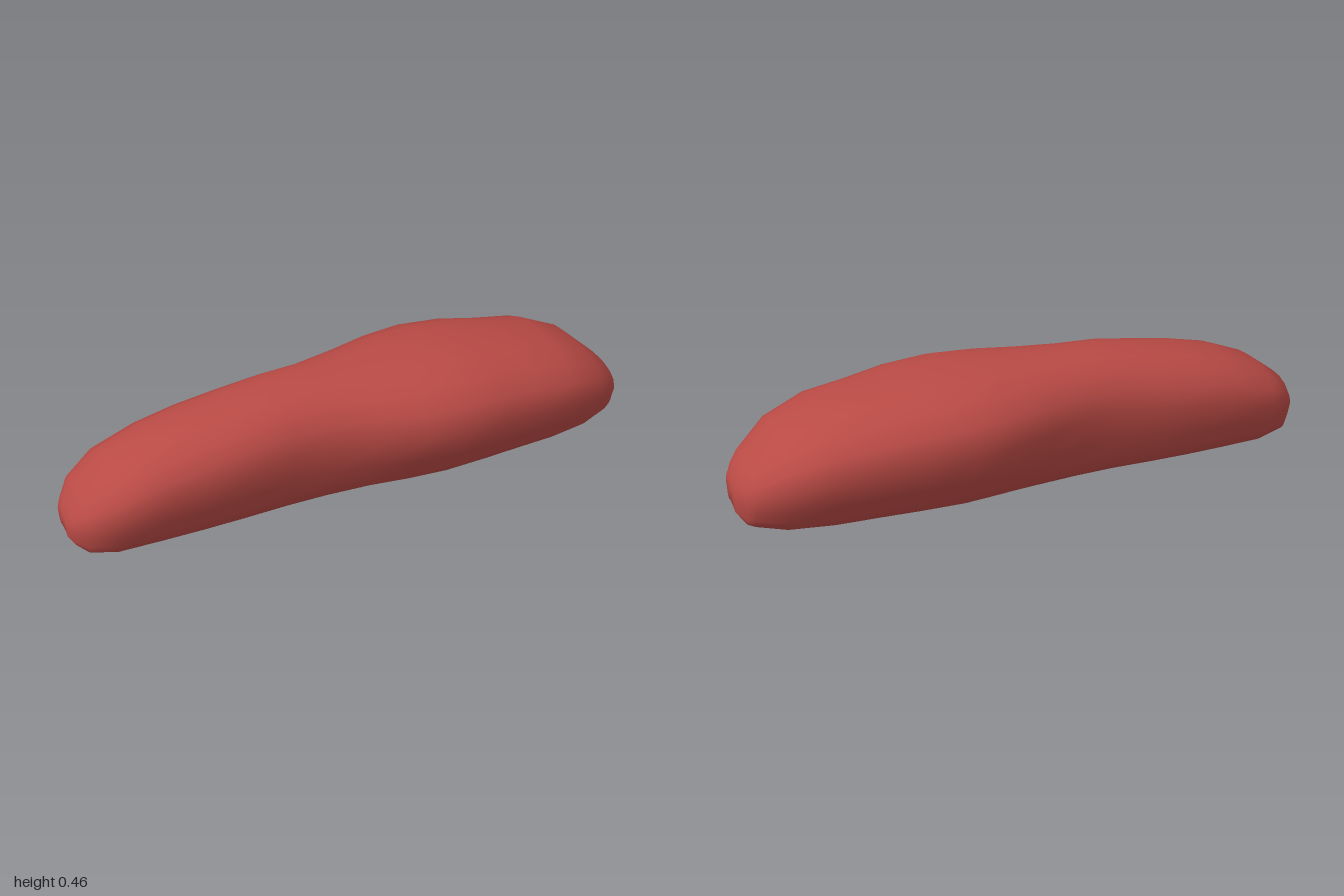
import * as THREE from 'three';
import { toCreasedNormals } from 'three/addons/utils/BufferGeometryUtils.js';

// Stations along the cushion: x, half width, top, bottom
const STATIONS = [
  [-1, 0.06, 0.16, 0.09], [-0.985, 0.09, 0.185, 0.072], [-0.95, 0.135, 0.24, 0.05],
  [-0.86, 0.18, 0.305, 0.022], [-0.71, 0.192, 0.363, 0.018], [-0.57, 0.201, 0.393, 0.016],
  [-0.43, 0.199, 0.416, 0.017], [-0.28, 0.193, 0.438, 0.02], [-0.14, 0.202, 0.442, 0.018],
  [0, 0.24, 0.447, 0.012], [0.14, 0.283, 0.455, 0.005], [0.28, 0.305, 0.458, 0],
  [0.43, 0.296, 0.447, 0.003], [0.57, 0.279, 0.421, 0.008], [0.71, 0.265, 0.4, 0.012],
  [0.85, 0.225, 0.342, 0.027], [0.95, 0.155, 0.255, 0.06], [0.975, 0.125, 0.226, 0.072],
  [1, 0.07, 0.19, 0.1],
];

// Upper outline: fraction of half width, fraction of height
const UPPER = [[0, 1], [0.22, 0.992], [0.44, 0.976], [0.72, 0.895], [0.91, 0.77], [1, 0.59]];
// Lower flank: fraction from lip to half width, fraction of height
const LOWER = [[0.69, 0.33], [0.52, 0.175], [0.3, 0.072]];

// Closed cross-section with a slot along the underside
function section([x, w, top, bottom]) {
  const h = top - bottom;
  const lip = Math.min(0.098, w * 0.75);
  const slot = Math.min(0.071, w * 0.55);
  const roof = Math.max(0.06, bottom + 0.006);
  const half = [
    ...UPPER.map(([k, t]) => [w * k, bottom + h * t]),
    ...LOWER.map(([k, t]) => [lip + (w - lip) * k, bottom + h * t]),
    [lip, bottom], [slot, bottom],
    [slot * 0.98, bottom + (roof - bottom) * 0.9], [slot * 0.7, roof], [0, roof],
  ];
  const mirrored = half.slice(1, -1).reverse().map(([z, y]) => [-z, y]);
  return [...half, ...mirrored].map(([z, y]) => [x, y, z]);
}

function loft(rings) {
  const n = rings[0].length;
  const positions = rings.flat(2);
  const index = [];
  for (let i = 0; i < rings.length - 1; i++) {
    for (let j = 0; j < n; j++) {
      const k = (j + 1) % n;
      const a = i * n + j, b = i * n + k, c = a + n, d = b + n;
      index.push(a, b, c, b, d, c);
    }
  }
  // End caps
  const last = rings.length - 1;
  for (const i of [0, last]) {
    const [x, , top, bottom] = STATIONS[i];
    const centre = positions.length / 3;
    positions.push(x, (top + bottom) / 2, 0);
    for (let j = 0; j < n; j++) {
      const a = i * n + j, b = i * n + (j + 1) % n;
      if (i === last) index.push(centre, a, b);
      else index.push(centre, b, a);
    }
  }
  const geometry = new THREE.BufferGeometry();
  geometry.setAttribute('position', new THREE.Float32BufferAttribute(positions, 3));
  geometry.setIndex(index);
  return toCreasedNormals(geometry, 0.95);
}

export function createModel() {
  const group = new THREE.Group();
  group.name = 'paddedCushion';
  const red = new THREE.MeshStandardMaterial({ color: 0xb94a45 });
  red.name = 'dull red';
  // Padded body, slot included
  const body = new THREE.Mesh(loft(STATIONS.map(section)), red);
  body.name = 'cushionBody';
  group.add(body);
  return group;
}
